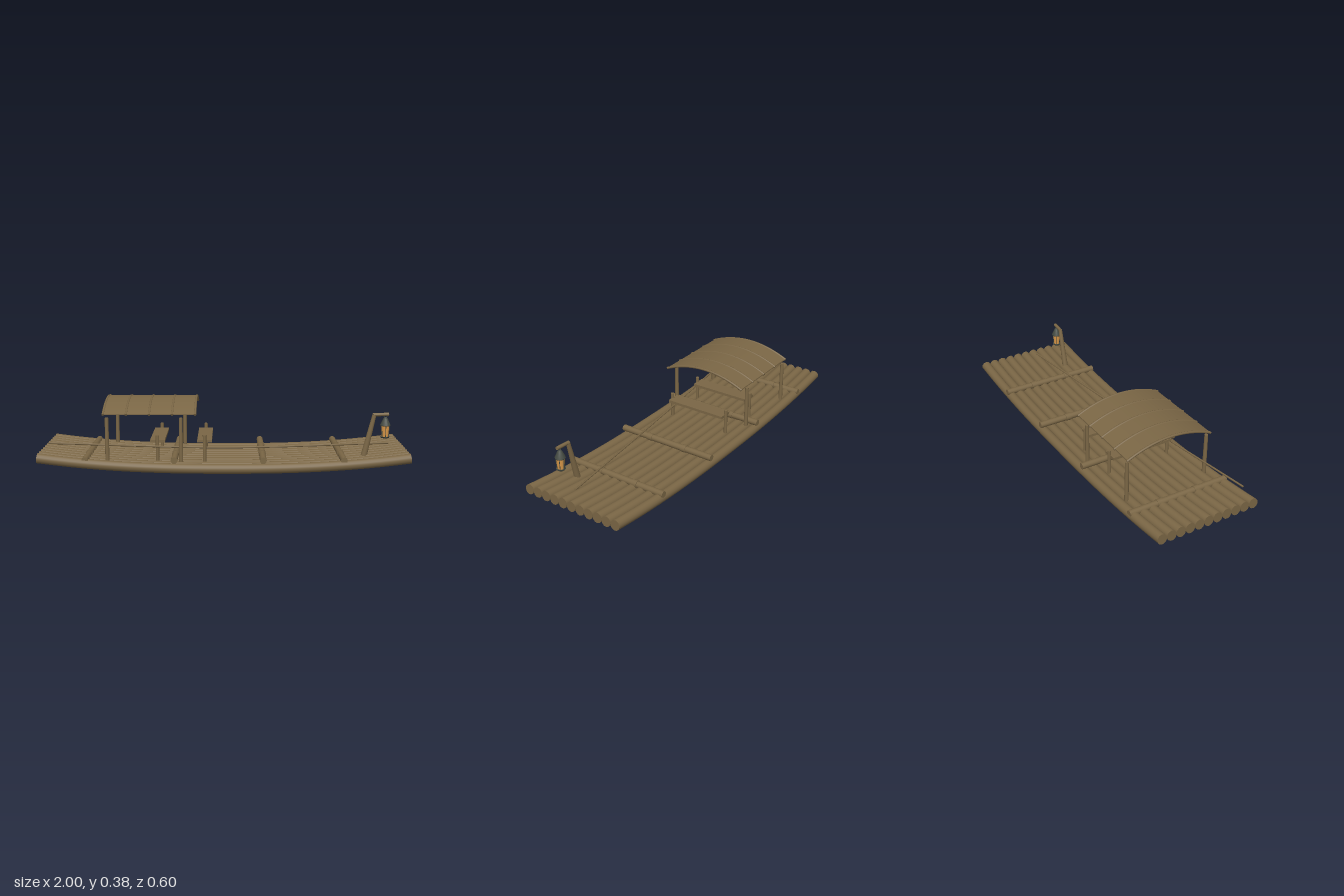
import * as THREE from 'three';

const wood = new THREE.MeshStandardMaterial({ color: 0x7a6645 });
wood.name = 'wood';
const iron = new THREE.MeshStandardMaterial({ color: 0x444a42 });
iron.name = 'iron';
const glow = new THREE.MeshStandardMaterial({ color: 0xdc9a4a });
glow.name = 'amber glass';

const V = (x, y, z) => new THREE.Vector3(x, y, z);

function add(parent, name, geometry, material, x = 0, y = 0, z = 0) {
  const mesh = new THREE.Mesh(geometry, material);
  mesh.name = name;
  mesh.position.set(x, y, z);
  parent.add(mesh);
  return mesh;
}

// Round bar from a to b, with its own radius at each end
function bar(parent, name, a, b, ra, rb = ra, material = wood, sides = 12) {
  const dir = b.clone().sub(a);
  const mesh = add(parent, name, new THREE.CylinderGeometry(rb, ra, dir.length(), sides), material);
  mesh.position.copy(a).add(b).multiplyScalar(0.5);
  mesh.quaternion.setFromUnitVectors(V(0, 1, 0), dir.normalize());
  return mesh;
}

// Upward sweep of the deck towards both ends
const lift = x => 0.058 * Math.abs(x) ** 2.4;
const slope = x => Math.sign(x) * 0.139 * Math.abs(x) ** 1.4;

function bentLog() {
  const g = new THREE.CylinderGeometry(0.027, 0.027, 1.993, 16, 24);
  g.rotateZ(-Math.PI / 2);
  const p = g.attributes.position;
  for (let i = 0; i < p.count; i++) {
    const x = p.getX(i), y = p.getY(i);
    p.setXY(i, x - slope(x) * y, y + 0.029 + lift(x));
  }
  return g;
}

// Roof arch, seen along x
const archY = z => 0.377 - 0.058 * (z / 0.25) ** 2;

class Arch extends THREE.Curve {
  constructor(x) { super(); this.x = x; }
  getPoint(t, target = V(0, 0, 0)) {
    const z = (t - 0.5) * 0.5;
    return target.set(this.x, archY(z), z);
  }
}

function canopy(parent) {
  const roof = new THREE.Group();
  roof.name = 'canopy';
  parent.add(roof);

  // Curved sheet
  const shape = new THREE.Shape();
  const n = 20;
  for (let i = 0; i <= n; i++) {
    const z = -0.25 + 0.5 * i / n;
    if (i) shape.lineTo(z, archY(z) + 0.003);
    else shape.moveTo(z, archY(z) + 0.003);
  }
  for (let i = n; i >= 0; i--) {
    const z = -0.25 + 0.5 * i / n;
    shape.lineTo(z, archY(z) - 0.003);
  }
  const sheet = new THREE.ExtrudeGeometry(shape, { depth: 0.49, bevelEnabled: false });
  sheet.rotateY(-Math.PI / 2);
  add(roof, 'canopySheet', sheet, wood, -0.153);

  // Ribs with end caps
  for (let i = 0; i < 5; i++) {
    const x = -0.643 + i * 0.1225;
    const curve = new Arch(x);
    add(roof, 'canopyRib', new THREE.TubeGeometry(curve, 20, 0.007, 8), wood);
    for (const t of [0, 1]) {
      const end = curve.getPoint(t), out = curve.getTangent(t).multiplyScalar(t ? 0.003 : -0.003);
      bar(roof, 'ribEnd', end, end.clone().add(out), 0.007, 0.007, wood, 8);
    }
  }

  // Corner posts
  for (const x of [-0.625, -0.23])
    for (const z of [-0.241, 0.241])
      bar(roof, 'canopyPost', V(x, 0.06, z), V(x, 0.299, z), 0.0115, 0.01);
}

function bench(parent, x) {
  const seat = new THREE.Group();
  seat.name = 'bench';
  parent.add(seat);
  add(seat, 'benchPlank', new THREE.BoxGeometry(0.08, 0.015, 0.362), wood, x, 0.16, 0);
  for (const z of [-0.183, 0.183])
    bar(seat, 'benchPost', V(x, 0.05, z), V(x, 0.194, z), 0.0095);
}

function lantern(parent) {
  const lamp = new THREE.Group();
  lamp.name = 'lantern';
  lamp.position.set(0.872, 0, 0.168);
  parent.add(lamp);
  add(lamp, 'lanternBase', new THREE.CylinderGeometry(0.026, 0.021, 0.007, 12), iron, 0, 0.182, 0);
  add(lamp, 'lanternGlass', new THREE.CylinderGeometry(0.024, 0.018, 0.062, 12), glow, 0, 0.217, 0);
  const cap = [[0, 0.244], [0.028, 0.245], [0.028, 0.249], [0.02, 0.267], [0.013, 0.282], [0.008, 0.289], [0, 0.291]];
  add(lamp, 'lanternRoof', new THREE.LatheGeometry(cap.map(([r, y]) => new THREE.Vector2(r, y)), 12), iron);
  for (let i = 0; i < 6; i++) {
    const a = (i + 0.5) * Math.PI / 3, c = Math.cos(a), s = Math.sin(a);
    bar(lamp, 'lanternBar', V(0.019 * c, 0.185, 0.019 * s), V(0.0245 * c, 0.247, 0.0245 * s), 0.0018, 0.0018, iron, 6);
  }
  add(lamp, 'lanternRing', new THREE.TorusGeometry(0.009, 0.002, 6, 12), iron, 0, 0.298, 0);
}

export function createModel() {
  const raft = new THREE.Group();
  raft.name = 'raft';

  // Deck of upswept logs
  const logGeometry = bentLog();
  for (let i = -5; i <= 5; i++) add(raft, 'deckLog', logGeometry, wood, 0, 0, i * 0.0547);

  // Cross beams with raised joints
  for (const x of [-0.74, -0.265, 0.21, 0.64]) {
    bar(raft, 'crossBeam', V(x, 0.077, -0.298), V(x, 0.077, 0.292), 0.018);
    for (const z of [-0.12, 0.105])
      bar(raft, 'beamJoint', V(x, 0.077, z - 0.015), V(x, 0.077, z + 0.015), 0.021);
  }

  canopy(raft);
  bench(raft, -0.36);
  bench(raft, -0.105);

  // Leaning lamp post and arm
  bar(raft, 'lampPost', V(0.755, 0.055, 0.165), V(0.813, 0.307, 0.165), 0.018, 0.011);
  bar(raft, 'lampArm', V(0.805, 0.304, 0.165), V(0.89, 0.307, 0.17), 0.0095);
  lantern(raft);

  // Long punting pole lying across the raft
  const path = new THREE.CatmullRomCurve3([V(-0.935, 0.163, 0.247), V(0, 0.121, 0.158), V(0.91, 0.124, 0.045)]);
  add(raft, 'puntingPole', new THREE.TubeGeometry(path, 24, 0.005, 8), wood);
  for (const t of [0, 1]) {
    const end = path.getPoint(t), out = path.getTangent(t).multiplyScalar(t ? 0.003 : -0.003);
    bar(raft, 'poleEnd', end, end.clone().add(out), 0.005, 0.005, wood, 8);
  }
  return raft;
}
